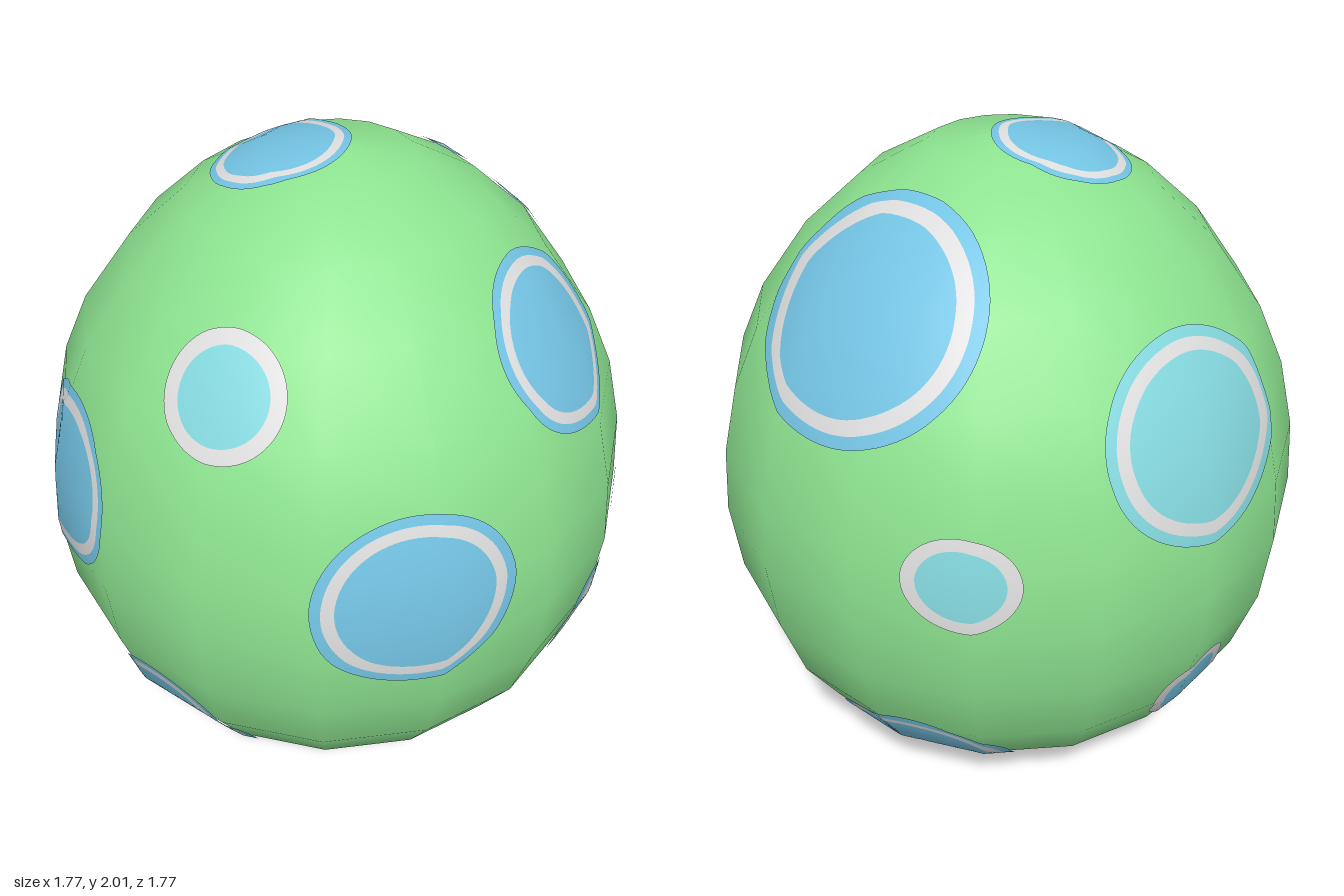
import * as THREE from 'three';

const SIDES = 16;
const CENTER_Y = 0.95;
const LIFT = 0.006;

// Egg profile from the bottom pole to the top pole: [radius, height]
const PROFILE = [
  [0, 0], [0.31, 0.05], [0.5, 0.14], [0.68, 0.3], [0.79, 0.47], [0.86, 0.68], [0.885, 0.9],
  [0.87, 1.1], [0.82, 1.31], [0.74, 1.49], [0.59, 1.7], [0.42, 1.855], [0.22, 1.965], [0, 2],
];

// Smooth profile normal at each profile point: [outward, up]
const NORMALS = PROFILE.map((p, i) => {
  if (i === 0) return new THREE.Vector2(0, -1);
  if (i === PROFILE.length - 1) return new THREE.Vector2(0, 1);
  const n = new THREE.Vector2();
  for (const [a, b] of [[PROFILE[i - 1], p], [p, PROFILE[i + 1]]]) {
    n.add(new THREE.Vector2(b[1] - a[1], a[0] - b[0]).normalize());
  }
  return n.normalize();
});

// Where a ray from the egg's middle meets its faceted shell
function shellPoint(d) {
  const step = (2 * Math.PI) / SIDES;
  const phi = Math.atan2(d.x, d.z);
  const mid = (Math.floor(phi / step) + 0.5) * step;
  const q = Math.hypot(d.x, d.z) * Math.cos(phi - mid);
  const apothem = Math.cos(step / 2);
  let t = Infinity;
  for (let i = 0; i < PROFILE.length - 1; i++) {
    const [r0, y0] = PROFILE[i], [r1, y1] = PROFILE[i + 1];
    const dy = y1 - y0, dr = apothem * (r1 - r0);
    const facing = dy * q - dr * d.y;
    if (facing > 1e-6) t = Math.min(t, (dy * apothem * r0 - dr * (y0 - CENTER_Y)) / facing);
  }
  return new THREE.Vector3(d.x * t, CENTER_Y + d.y * t, d.z * t);
}

function shellNormal(p) {
  let i = 0;
  while (i < PROFILE.length - 2 && p.y > PROFILE[i + 1][1]) i++;
  const f = THREE.MathUtils.clamp((p.y - PROFILE[i][1]) / (PROFILE[i + 1][1] - PROFILE[i][1]), 0, 1);
  const n = NORMALS[i].clone().lerp(NORMALS[i + 1], f).normalize();
  const phi = Math.atan2(p.x, p.z);
  return new THREE.Vector3(Math.sin(phi) * n.x, n.y, Math.cos(phi) * n.x);
}

// Thin painted ring (or disc when inner = 0) that hugs the shell
function paintedRing(center, halfWidth, halfHeight, inner, outer) {
  const around = 72;
  const bands = Math.max(1, Math.ceil(((outer - inner) * halfWidth) / 0.02));
  const out = new THREE.Vector3(center[0], center[1] - CENTER_Y, center[2]);
  const size = out.length();
  out.normalize();
  const side = new THREE.Vector3(0, 1, 0).cross(out).normalize();
  const up = out.clone().cross(side);
  const positions = [], normals = [], index = [];
  for (let b = 0; b <= bands; b++) {
    const k = inner + ((outer - inner) * b) / bands;
    for (let a = 0; a <= around; a++) {
      const ang = (a / around) * Math.PI * 2;
      const u = Math.cos(ang) * halfWidth * k, v = Math.sin(ang) * halfHeight * k;
      const d = out.clone().multiplyScalar(Math.sqrt(size * size - u * u - v * v))
        .addScaledVector(side, u).addScaledVector(up, v);
      const p = shellPoint(d);
      const n = shellNormal(p);
      p.addScaledVector(n, LIFT);
      positions.push(p.x, p.y, p.z);
      normals.push(n.x, n.y, n.z);
      if (b < bands && a < around) {
        const i = b * (around + 1) + a, j = i + around + 1;
        index.push(i, j, j + 1, i, j + 1, i + 1);
      }
    }
  }
  const g = new THREE.BufferGeometry();
  g.setAttribute('position', new THREE.Float32BufferAttribute(positions, 3));
  g.setAttribute('normal', new THREE.Float32BufferAttribute(normals, 3));
  g.setIndex(index);
  return g;
}

export function createModel() {
  const material = (name, color) => {
    const m = new THREE.MeshStandardMaterial({ color });
    m.name = name;
    return m;
  };
  const green = material('shell green', 0x8de390);
  const blue = material('spot blue', 0x74c4e4);
  const teal = material('spot teal', 0x84d8de);
  const white = material('ring white', 0xdedede);

  const model = new THREE.Group();
  model.name = 'spottedEgg';

  // Shell
  const shell = new THREE.Mesh(
    new THREE.LatheGeometry(PROFILE.map(([r, y]) => new THREE.Vector2(r, y)), SIDES), green);
  shell.name = 'shell';
  model.add(shell);

  // Spots: centre, half width, half height, colour, has an outer coloured rim
  const spots = [
    ['frontSpot', [-0.4, 1.07, 0.77], 0.29, 0.27, blue, true],
    ['upperFrontSpot', [0.24, 1.57, 0.64], 0.26, 0.26, blue, true],
    ['lowerFrontSpot', [0.55, 0.6, 0.62], 0.385, 0.335, blue, true],
    ['upperLeftSpot', [0.59, 1.64, -0.11], 0.355, 0.34, blue, true],
    ['lowerLeftSpot', [0.58, 0.27, -0.31], 0.28, 0.26, blue, true],
    ['smallLeftSpot', [0.64, 1.07, -0.59], 0.165, 0.14, teal, false],
    ['topSpot', [-0.1, 1.97, -0.125], 0.2, 0.2, blue, true],
    ['backSpot', [-0.03, 1.36, -0.79], 0.31, 0.29, teal, true],
    ['smallRightSpot', [-0.61, 1.57, 0.25], 0.17, 0.17, teal, false],
    ['smallBackSpot', [-0.06, 0.48, -0.8], 0.145, 0.16, blue, false],
    ['rightSpot', [-0.81, 1.12, -0.28], 0.28, 0.265, blue, true],
    ['lowerRightSpot', [-0.7, 0.36, 0.04], 0.28, 0.29, blue, true],
  ];
  for (const [name, center, w, h, color, rimmed] of spots) {
    const spot = new THREE.Group();
    spot.name = name;
    const layers = rimmed
      ? [['middle', 0, 0.78, color], ['whiteRing', 0.78, 0.9, white], ['rim', 0.9, 1, color]]
      : [['middle', 0, 0.75, color], ['whiteRing', 0.75, 1, white]];
    for (const [part, inner, outer, mat] of layers) {
      const mesh = new THREE.Mesh(paintedRing(center, w, h, inner, outer), mat);
      mesh.name = part;
      spot.add(mesh);
    }
    model.add(spot);
  }
  return model;
}
